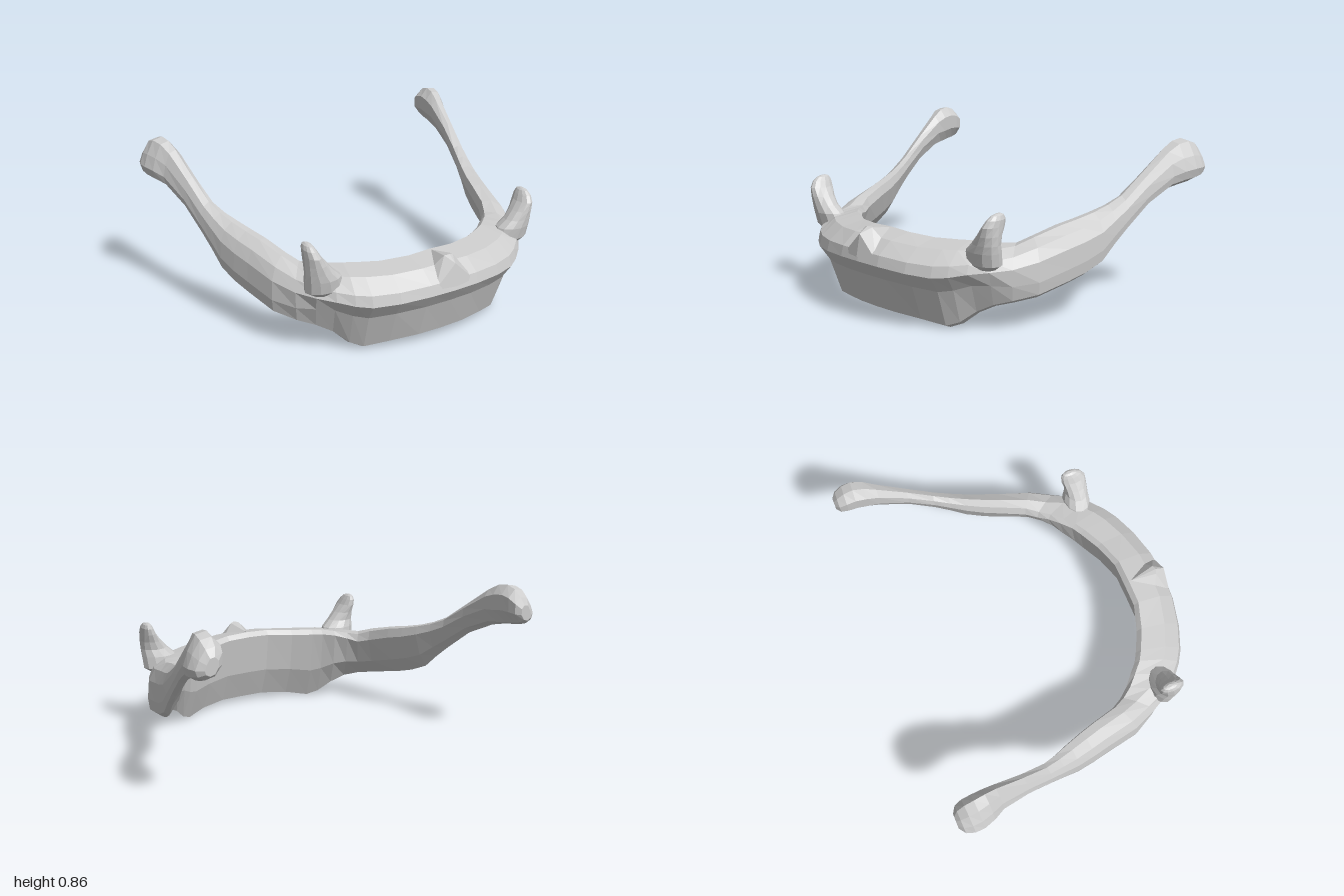
import * as THREE from 'three';
import { ConvexGeometry } from 'three/addons/geometries/ConvexGeometry.js';

// Skin closed rings of [x, y, z] points, with a fan closing each end.
function loft(rings) {
  const n = rings[0].length, last = rings.length - 1;
  const pos = rings.flat(2), index = [];
  for (let i = 0; i < last; i++) for (let j = 0; j < n; j++) {
    const k = (j + 1) % n, a = i * n + j, b = i * n + k, c = a + n, d = b + n;
    index.push(a, c, b, b, c, d);
  }
  [0, last].forEach((r, e) => {
    const mid = [0, 1, 2].map(k => rings[r].reduce((s, p) => s + p[k], 0) / n);
    const m = pos.length / 3;
    pos.push(...mid);
    for (let j = 0; j < n; j++) {
      const a = r * n + j, b = r * n + (j + 1) % n;
      index.push(...(e ? [m, b, a] : [m, a, b]));
    }
  });
  const geo = new THREE.BufferGeometry();
  geo.setAttribute('position', new THREE.Float32BufferAttribute(pos, 3));
  geo.setIndex(index);
  geo.computeVertexNormals();
  return geo;
}

// Cross-sections as [inner-to-outer, bottom-to-top] fractions:
// 0 front body, 1 upright blade of the arm, 2 rounded arm tip.
const PROFILES = [
  [[0.38, 0], [0.53, 0.04], [0.78, 0.48], [1, 0.67], [0.94, 0.8], [0.62, 0.95], [0.1, 1], [0, 0.94], [0.12, 0.4]],
  [[0.74, 0], [0.95, 0.08], [1, 0.3], [0.95, 0.65], [0.75, 0.87], [0.38, 1], [0.08, 0.98], [0, 0.8], [0.32, 0.3]],
  [[0.65, 0], [0.92, 0.12], [1, 0.33], [0.86, 0.63], [0.62, 0.95], [0.28, 1], [0.02, 0.78], [0.04, 0.4], [0.3, 0.08]],
];

// Outer x, z; inner x, z; bottom y; top y; profile blend.
const STATIONS = [
  [0, 0.785, 0, 0.53, 0.03, 0.445, 0],
  [0.14, 0.775, 0.13, 0.53, 0.03, 0.44, 0],
  [0.30, 0.74, 0.27, 0.485, 0.02, 0.43, 0],
  [0.43, 0.69, 0.38, 0.43, 0, 0.43, 0],
  [0.50, 0.645, 0.43, 0.40, 0.025, 0.43, 0],
  [0.57, 0.585, 0.485, 0.35, 0.085, 0.425, 0.05],
  [0.64, 0.51, 0.54, 0.30, 0.125, 0.42, 0.35],
  [0.70, 0.41, 0.58, 0.25, 0.145, 0.42, 0.75],
  [0.76, 0.28, 0.615, 0.19, 0.165, 0.45, 1],
  [0.80, 0.10, 0.655, 0.06, 0.205, 0.49, 1],
  [0.825, 0, 0.685, -0.03, 0.235, 0.51, 1],
  [0.847, -0.10, 0.72, -0.12, 0.28, 0.535, 1],
  [0.86, -0.18, 0.755, -0.20, 0.36, 0.565, 1.1],
  [0.873, -0.26, 0.785, -0.28, 0.43, 0.605, 1.2],
  [0.90, -0.40, 0.81, -0.41, 0.54, 0.705, 1.5],
  [0.94, -0.55, 0.825, -0.56, 0.615, 0.815, 1.8],
  [0.975, -0.61, 0.83, -0.62, 0.63, 0.85, 2],
  [0.997, -0.67, 0.835, -0.68, 0.64, 0.86, 2],
  [1, -0.72, 0.838, -0.73, 0.65, 0.845, 2],
  [0.985, -0.765, 0.85, -0.77, 0.665, 0.81, 2],
  [0.95, -0.79, 0.88, -0.79, 0.685, 0.77, 2],
];

function section([ox, oz, ix, iz, y0, y1, blend], side) {
  const k = Math.min(1, Math.floor(blend)), mix = THREE.MathUtils.lerp;
  return PROFILES[k].map((p, j) => {
    const q = PROFILES[k + 1][j];
    const s = mix(p[0], q[0], blend - k), t = mix(p[1], q[1], blend - k);
    return [side * mix(ix, ox, s), mix(y0, y1, t), mix(iz, oz, s)];
  });
}

export function createModel() {
  const model = new THREE.Group();
  model.name = 'uShapedBone';
  const bone = new THREE.MeshStandardMaterial({ color: 0xcccccc, flatShading: true });
  bone.name = 'bone grey';
  const add = (name, geo) => {
    const mesh = new THREE.Mesh(geo, bone);
    mesh.name = name;
    model.add(mesh);
  };

  // Front body and both long arms, one sweep from right tip to left tip
  add('bodyAndArms', loft([
    ...STATIONS.slice(1).reverse().map(s => section(s, -1)),
    ...STATIONS.map(s => section(s, 1)),
  ]));

  // Ridge on the middle of the front
  const ridge = [[0, 0.475, 0.715], [0, 0.445, 0.765], [0, 0.33, 0.788], [0, 0.445, 0.57]];
  for (const s of [-1, 1]) {
    ridge.push([s * 0.025, 0.47, 0.705], [s * 0.12, 0.33, 0.765], [s * 0.08, 0.41, 0.68]);
  }
  add('middleRidge', new ConvexGeometry(ridge.map(p => new THREE.Vector3(...p))));

  // Small upright horns flaring into the body: centre x, y, z, radius x, radius z
  const horn = [
    [0.56, 0.31, 0.47, 0.06, 0.05], [0.58, 0.355, 0.485, 0.107, 0.07],
    [0.595, 0.42, 0.495, 0.097, 0.072], [0.618, 0.46, 0.503, 0.075, 0.064],
    [0.638, 0.505, 0.502, 0.056, 0.066], [0.655, 0.55, 0.496, 0.038, 0.07],
    [0.663, 0.582, 0.486, 0.029, 0.059], [0.665, 0.602, 0.478, 0.019, 0.04],
    [0.665, 0.61, 0.474, 0.008, 0.016],
  ];
  for (const side of [-1, 1]) {
    add(side > 0 ? 'leftSmallHorn' : 'rightSmallHorn', loft(horn.map(([x, y, z, rx, rz]) =>
      Array.from({ length: 12 }, (_, j) => {
        const a = j * Math.PI / 6;
        return [side * x + rx * Math.cos(a), y, z + rz * Math.sin(a)];
      }))));
  }
  return model;
}
